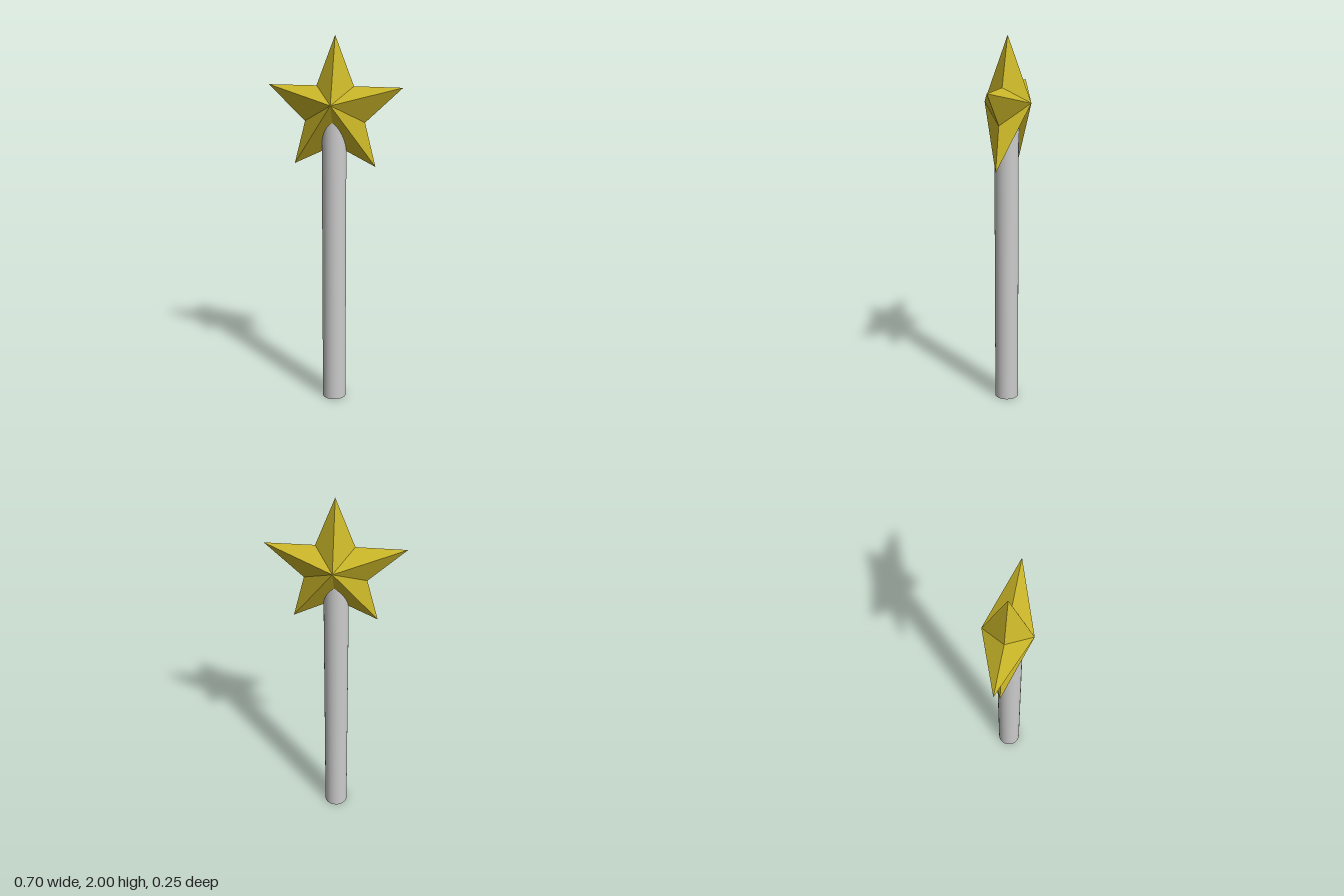
import * as THREE from 'three';

const ROD = { radius: 0.064, height: 1.62, x: -0.004, z: 0.007 };
const CENTRE_Y = 1.66;

// Star outline, counter-clockwise from the top: tip, notch, tip, notch ...
const OUTLINE = [
  [0, 2], [-0.098, 1.745],
  [-0.352, 1.745], [-0.16, 1.56],
  [-0.218, 1.333], [0, 1.438],
  [0.214, 1.33], [0.157, 1.56],
  [0.35, 1.743], [0.098, 1.745],
];

// Faceted star: every outline edge is joined to a front and a back apex
function starGeometry(frontZ, backZ) {
  const positions = [];
  OUTLINE.forEach(([ax, ay], i) => {
    const [bx, by] = OUTLINE[(i + 1) % OUTLINE.length];
    positions.push(ax, ay, 0, bx, by, 0, 0, CENTRE_Y, frontZ);
    positions.push(bx, by, 0, ax, ay, 0, 0, CENTRE_Y, backZ);
  });
  const geometry = new THREE.BufferGeometry();
  geometry.setAttribute('position', new THREE.Float32BufferAttribute(positions, 3));
  geometry.computeVertexNormals();
  return geometry;
}

export function createModel() {
  const group = new THREE.Group();
  group.name = 'starWand';

  // Round rod whose top end sits inside the star
  const rod = new THREE.Mesh(
    new THREE.CylinderGeometry(ROD.radius, ROD.radius, ROD.height, 48),
    new THREE.MeshStandardMaterial({ color: 0xcccccc }),
  );
  rod.name = 'rod';
  rod.position.set(ROD.x, ROD.height / 2, ROD.z);

  // Five-pointed golden star
  const star = new THREE.Mesh(
    starGeometry(0.125, -0.127),
    new THREE.MeshStandardMaterial({ color: 0xc8b428, flatShading: true }),
  );
  star.name = 'star';

  group.add(rod, star);
  return group;
}
